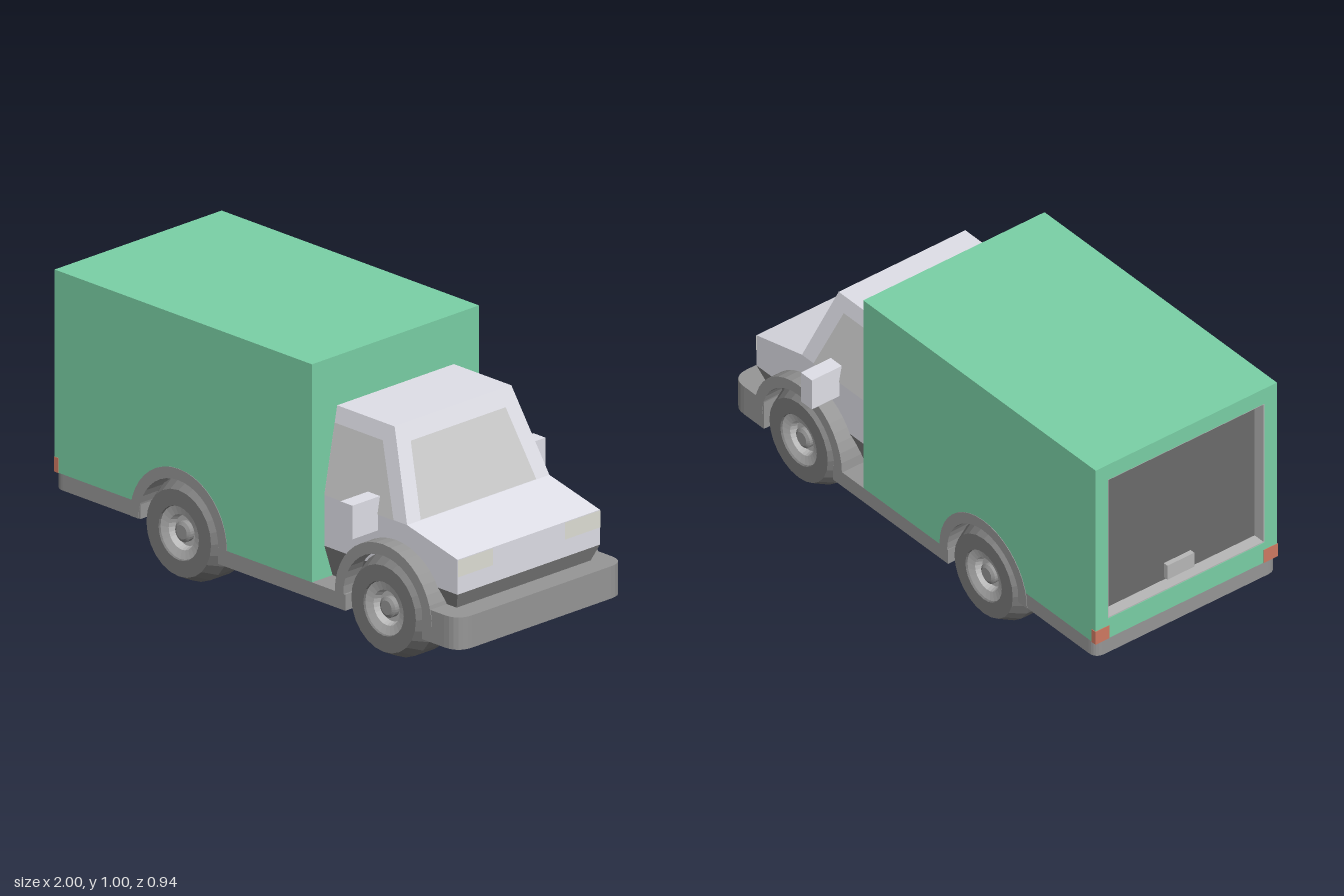
import * as THREE from 'three';
import { ConvexGeometry } from 'three/addons/geometries/ConvexGeometry.js';

const mat = (color) => new THREE.MeshStandardMaterial({ color, flatShading: true, side: THREE.DoubleSide });
const GREEN = mat(0x7ad0a6), CAB = mat(0xe0e0e8), GLASS = mat(0xbcbcbc), TRIM = mat(0x969696);
const SKIRT = mat(0x8a8a8a), TYRE = mat(0x7a7a7a), RIM = mat(0xb8b8b8), DOOR = mat(0x6c6c6c);
const LAMP = mat(0xe0e0d6), TAIL = mat(0xd07a62);

const W = 0.405;                    // half width of the truck
const AXLE_Y = 0.19;
const REAR_X = -0.385, FRONT_X = 0.63;

export function createModel() {
  const truck = new THREE.Group();
  truck.name = 'boxTruck';

  const add = (name, geometry, material) => {
    const mesh = new THREE.Mesh(geometry, material);
    mesh.name = name;
    truck.add(mesh);
    return mesh;
  };
  // Box given by its limits on each axis
  const block = (name, material, [x0, x1], [y0, y1], [z0, z1]) => {
    const mesh = add(name, new THREE.BoxGeometry(x1 - x0, y1 - y0, z1 - z0), material);
    mesh.position.set((x0 + x1) / 2, (y0 + y1) / 2, (z0 + z1) / 2);
    return mesh;
  };
  const extrude = (shape, depth, curveSegments = 10) =>
    new THREE.ExtrudeGeometry(shape, { depth, bevelEnabled: false, curveSegments });
  // Convex solid from [x, y, halfWidth] points mirrored across z
  const hull = (name, material, pts) => add(name, new ConvexGeometry(
    pts.flatMap(([x, y, z]) => [new THREE.Vector3(x, y, z), new THREE.Vector3(x, y, -z)])), material);
  // Four-cornered flat panel
  const panel = (name, material, corners) => {
    const g = new THREE.BufferGeometry();
    g.setAttribute('position', new THREE.Float32BufferAttribute(corners.flat(), 3));
    g.setIndex([0, 1, 2, 0, 2, 3]);
    g.computeVertexNormals();
    return add(name, g, material);
  };
  // Slab seen from above, with rounded corners at one end (dir = +1 front, -1 rear)
  const roundedSlab = (name, inner, outer, dir, r, y0, y1) => {
    const s = new THREE.Shape();
    s.moveTo(inner, -W);
    s.lineTo(outer - dir * r, -W);
    s.quadraticCurveTo(outer, -W, outer, -W + r);
    s.lineTo(outer, W - r);
    s.quadraticCurveTo(outer, W, outer - dir * r, W);
    s.lineTo(inner, W);
    const mesh = add(name, extrude(s, y1 - y0, 6), TRIM);
    mesh.rotation.x = -Math.PI / 2;
    mesh.position.y = y0;
  };

  // Cargo box sides, with the rear wheel arch cut out
  const side = new THREE.Shape();
  side.moveTo(-0.945, 0.25);
  side.lineTo(-0.609, 0.25);
  side.absarc(REAR_X, AXLE_Y, 0.232, Math.PI - 0.262, 0, true);
  side.lineTo(0.275, 0.19);
  side.lineTo(0.275, 1);
  side.lineTo(-0.945, 1);
  add('cargoBox', extrude(side, 2 * W), GREEN).position.z = -W;

  // Rear frame around the recessed door, and its grey lining
  const rect = (C, w, y0, y1) => new C([[-w, y0], [w, y0], [w, y1], [-w, y1]].map((p) => new THREE.Vector2(...p)));
  const ring = (name, material, outer, inner, x, depth) => {
    const s = rect(THREE.Shape, ...outer);
    s.holes.push(rect(THREE.Path, ...inner));
    const mesh = add(name, extrude(s, depth), material);
    mesh.rotation.y = Math.PI / 2;
    mesh.position.x = x;
  };
  ring('rearFrame', GREEN, [W, 0.25, 1], [0.35, 0.335, 0.935], -1, 0.056);
  ring('doorLining', RIM, [0.352, 0.333, 0.937], [0.346, 0.339, 0.931], -0.998, 0.053);
  block('rearDoor', DOOR, [-0.95, -0.94], [0.335, 0.935], [-0.35, 0.35]);
  block('doorHandle', RIM, [-0.97, -0.95], [0.35, 0.41], [-0.06, 0.06]);

  // Chassis: central floor, side sills, rear deck and front bumper
  block('floor', TRIM, [-0.575, 0.9], [0.13, 0.25], [-0.25, 0.25]);
  roundedSlab('rearDeck', -0.575, -1, -1, 0.04, 0.19, 0.25);
  roundedSlab('frontBumper', 0.82, 1, 1, 0.07, 0.13, 0.25);
  block('sill', TRIM, [-0.19, 0.44], [0.13, 0.19], [-W, W]);
  block('rearWheelWell', TRIM, [REAR_X - 0.22, REAR_X + 0.22], [0.19, 0.43], [-0.25, 0.25]);

  // Cab: tapered skirt, lower body with hood, and sloping upper cabin
  hull('cabSkirt', SKIRT, [[0.275, 0.31, 0.345], [0.935, 0.31, 0.345],
    [0.275, 0.19, 0.305], [0.88, 0.19, 0.305], [0.91, 0.25, 0.325]]);
  hull('cabBody', CAB, [[0.275, 0.31, 0.345], [0.935, 0.31, 0.345], [0.935, 0.44, 0.345],
    [0.685, 0.5, 0.345], [0.275, 0.5, 0.345]]);
  hull('cabin', CAB, [[0.275, 0.5, 0.345], [0.685, 0.5, 0.345],
    [0.56, 0.815, 0.283], [0.275, 0.815, 0.283]]);

  // Windows lie just proud of the sloping faces
  const slopeX = (y) => 0.687 - (y - 0.5) * 0.397;
  const slopeZ = (y) => 0.347 - (y - 0.5) * 0.197;
  panel('windshield', GLASS, [[slopeX(0.502), 0.502, 0.28], [slopeX(0.502), 0.502, -0.28],
    [slopeX(0.755), 0.755, -0.23], [slopeX(0.755), 0.755, 0.23]]);

  for (const s of [1, -1]) {
    const zs = (a, b) => (s > 0 ? [a, b] : [-b, -a]);
    panel('sideWindow', GLASS, [[0.277, 0.5, s * slopeZ(0.5)], [0.62, 0.5, s * slopeZ(0.5)],
      [0.515, 0.755, s * slopeZ(0.755)], [0.277, 0.755, s * slopeZ(0.755)]]);
    panel('headlight', LAMP, [[0.937, 0.375, s * 0.175], [0.937, 0.375, s * 0.345],
      [0.937, 0.438, s * 0.345], [0.937, 0.438, s * 0.175]]);
    block('sideMirror', CAB, [0.48, 0.54], [0.44, 0.565], zs(0.325, 0.468));
    block('tailLight', TAIL, [-1.002, -0.98], [0.25, 0.305], zs(0.345, 0.407));

    for (const x of [REAR_X, FRONT_X]) {
      // Wheel arch trim
      const arch = new THREE.Shape();
      arch.absarc(0, 0, 0.24, 0, Math.PI, false);
      arch.absarc(0, 0, 0.198, Math.PI, 0, true);
      const fender = add('fender', extrude(arch, 0.157), TRIM);
      fender.position.set(x, AXLE_Y, s > 0 ? 0.25 : -0.407);

      // Wheel: tyre with a sloped shoulder, dished rim and raised hub
      const wheel = new THREE.Group();
      wheel.name = 'wheel';
      const lathe = (name, pts, material) => {
        const mesh = new THREE.Mesh(
          new THREE.LatheGeometry(pts.map((p) => new THREE.Vector2(...p)), 24), material);
        mesh.name = name;
        wheel.add(mesh);
      };
      lathe('tyre', [[0, 0.25], [0.19, 0.25], [0.19, 0.345], [0.16, 0.405], [0.1, 0.405], [0.097, 0.395]], TYRE);
      lathe('rim', [[0.1, 0.398], [0.065, 0.39], [0.056, 0.365], [0, 0.365]], RIM);
      lathe('hub', [[0.038, 0.36], [0.038, 0.385], [0.026, 0.392], [0, 0.392]], TRIM);
      wheel.rotation.x = s * Math.PI / 2;
      wheel.position.set(x, AXLE_Y, 0);
      truck.add(wheel);
    }
  }
  return truck;
}
